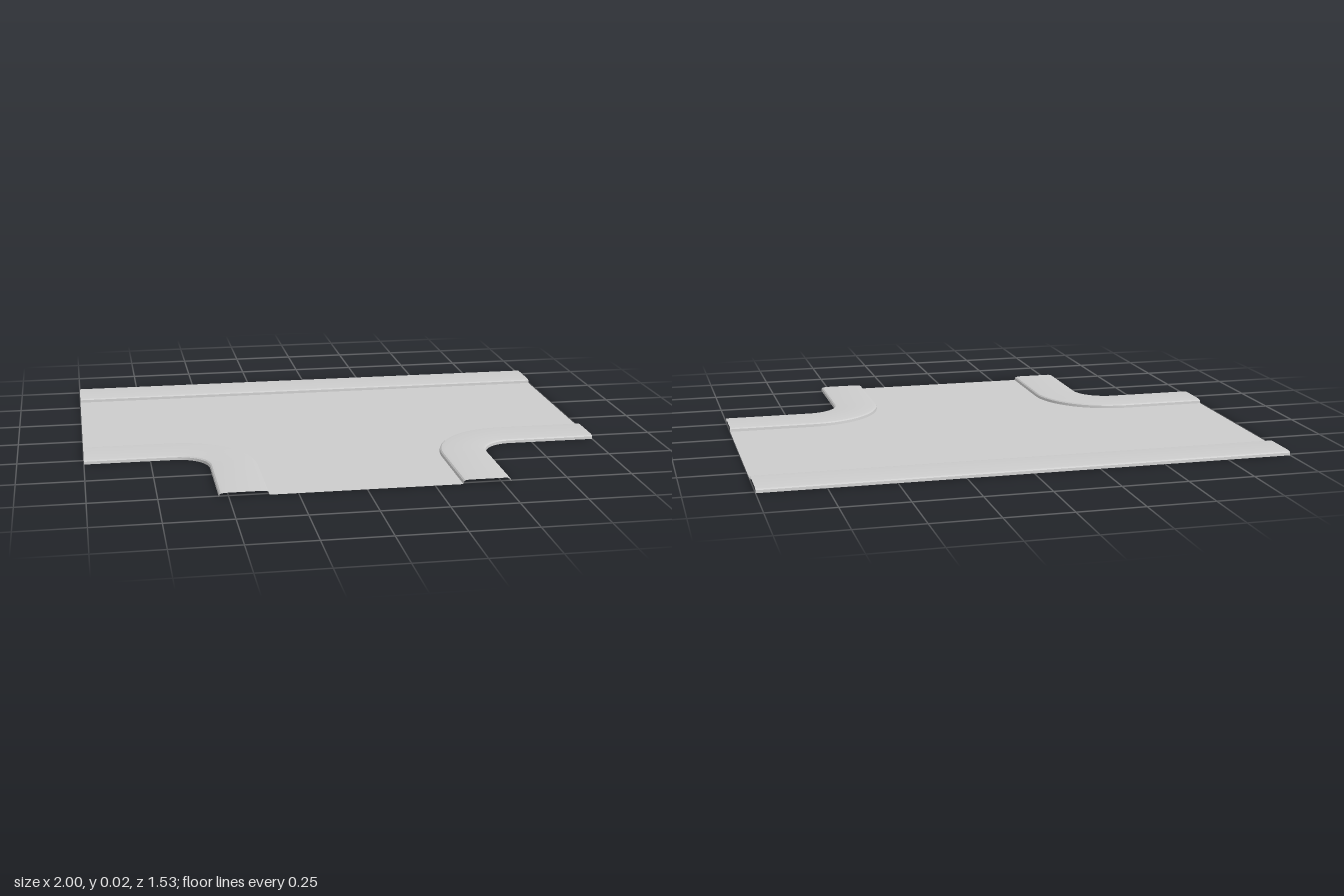
import * as THREE from 'three';
import { toCreasedNormals } from 'three/addons/utils/BufferGeometryUtils.js';

const END_X = 1, END_Z = 0.765;            // outer limits of the tile
const BACK = -0.585;                       // rear kerb line
const CX = 0.66, CZ = 0.425, R = 0.305;    // corner centre and road-side radius

// Pavement cross-section: [distance from the road, height]
const PROFILE = [
  [0, 0], [0.002, 0.01], [0.007, 0.014], [0.02, 0.016],
  [0.16, 0.016], [0.173, 0.014], [0.178, 0.01], [0.18, 0],
];

// Kerb line round a corner: points with the direction away from the road
function cornerPath(side) {
  const path = [{ x: side * END_X, z: CZ - R, nx: 0, nz: 1 }];
  const steps = 16;
  for (let i = 0; i <= steps; i++) {
    const a = (i / steps) * Math.PI / 2;
    const nx = side * Math.sin(a), nz = Math.cos(a);
    path.push({ x: side * CX - nx * R, z: CZ - nz * R, nx, nz });
  }
  path.push({ x: side * (CX - R), z: END_Z, nx: side, nz: 0 });
  return side > 0 ? path : path.reverse();
}

// Sweep the pavement cross-section along a kerb line
function sweepPavement(path) {
  const positions = [], index = [], n = PROFILE.length;
  path.forEach((p, i) => {
    PROFILE.forEach(([d, h], j) => {
      positions.push(p.x + p.nx * d, h, p.z + p.nz * d);
      if (i < path.length - 1 && j < n - 1) {
        const a = i * n + j, b = a + n;
        index.push(a, b, a + 1, b, b + 1, a + 1);
      }
    });
  });
  const geometry = new THREE.BufferGeometry();
  geometry.setAttribute('position', new THREE.Float32BufferAttribute(positions, 3));
  geometry.setIndex(index);
  return toCreasedNormals(geometry, Math.PI / 7);
}

export function createModel() {
  const group = new THREE.Group();
  group.name = 'roadJunction';
  const material = new THREE.MeshStandardMaterial({ color: 0xcccccc, side: THREE.DoubleSide });
  const add = (name, geometry) => {
    const mesh = new THREE.Mesh(geometry, material);
    mesh.name = name;
    group.add(mesh);
  };

  const rightCorner = cornerPath(-1), leftCorner = cornerPath(1);
  const backLine = [-END_X, END_X].map((x) => ({ x, z: BACK, nx: 0, nz: -1 }));

  // Flat T-shaped road bounded by the three kerb lines
  const outline = [...backLine, ...leftCorner, ...rightCorner]
    .map((p) => new THREE.Vector2(p.x, -p.z));
  const road = new THREE.ShapeGeometry(new THREE.Shape(outline));
  road.rotateX(-Math.PI / 2);
  add('road', road);

  // Raised pavements
  add('backPavement', sweepPavement(backLine));
  add('leftCornerPavement', sweepPavement(leftCorner));
  add('rightCornerPavement', sweepPavement(rightCorner));

  return group;
}
